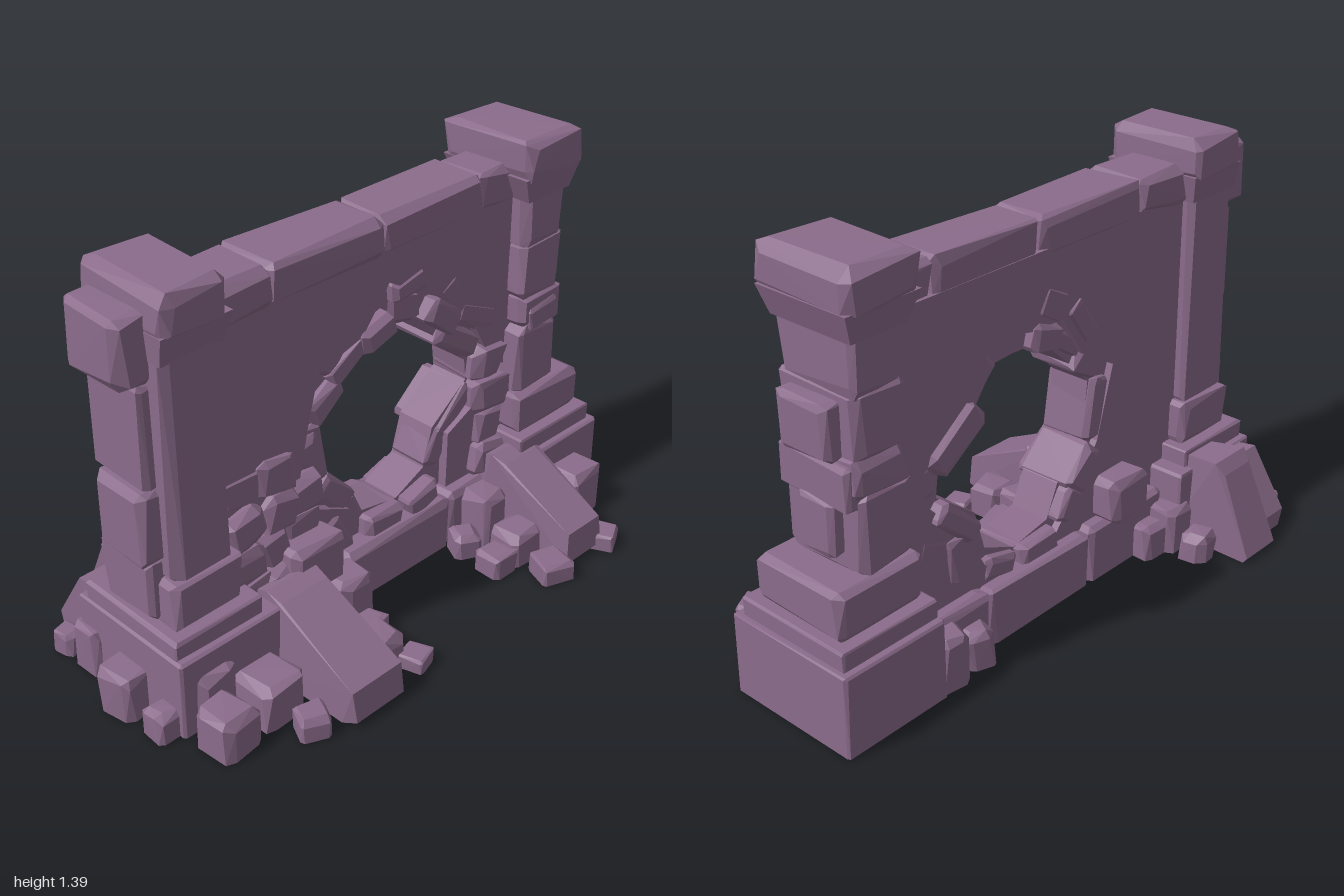
import * as THREE from 'three';
import { ConvexGeometry } from 'three/addons/geometries/ConvexGeometry.js';

const stone = new THREE.MeshStandardMaterial({ color: 0x8b6c8b, flatShading: true });
stone.name = 'mauve stone';

let seed = 7;
const rnd = () => (seed = (seed * 16807) % 2147483647) / 2147483647;
const vary = (a) => (rnd() - 0.5) * 2 * a;

function add(parent, name, geometry) {
  const m = new THREE.Mesh(geometry, stone);
  m.name = name;
  parent.add(m);
  return m;
}

function group(parent, name) {
  const g = new THREE.Group();
  g.name = name;
  parent.add(g);
  return g;
}

// Stone block with irregular chipped corners, given by its ranges in x, y and z
function block(parent, name, x, y, z, chip = 0.03) {
  const size = [x, y, z].map(([a, b]) => b - a);
  const c = Math.min(chip, Math.min(...size) * 0.28);
  const pts = [];
  for (const a of [-1, 1]) for (const b of [-1, 1]) for (const d of [-1, 1]) {
    const sign = [a, b, d];
    const inset = sign.map(() => rnd() * c * 0.4);
    for (let k = 0; k < 3; k++) {
      const p = sign.map((g, i) => g * (size[i] / 2 - (i === k ? inset[i] * 0.4 : inset[i] + c * (0.1 + rnd() * 0.8))));
      if (y[0] === 0 && b < 0) p[1] = -size[1] / 2;
      pts.push(new THREE.Vector3(...p));
    }
  }
  const m = add(parent, name, new ConvexGeometry(pts));
  m.position.set((x[0] + x[1]) / 2, (y[0] + y[1]) / 2, (z[0] + z[1]) / 2);
  return m;
}

// Fallen slab with a (z, y) side profile
function slab(parent, x0, x1, profile) {
  const pts = profile.flatMap(([z, y]) => [x0 + rnd() * 0.025, x1 - rnd() * 0.025].map(x => new THREE.Vector3(x, y, z)));
  add(parent, 'fallenSlab', new ConvexGeometry(pts));
}

// Wall sheet with a broken opening
function sheet(parent, name, hole, z0, z1) {
  const shape = new THREE.Shape();
  shape.moveTo(-0.66, 0.1).lineTo(0.68, 0.1).lineTo(0.68, 1.2).lineTo(-0.66, 1.2);
  shape.holes.push(new THREE.Path(hole));
  const geo = new THREE.ExtrudeGeometry(shape, { depth: z1 - z0, bevelEnabled: false });
  add(parent, name, geo.translate(0, 0, z0));
}

// Pillar of tiers: x ranges differ, heights and depths are shared
function pillar(parent, name, joints, base, step, plinth, shaft, cap) {
  const g = group(parent, name);
  const depth = (h) => [-0.04 - h, -0.04 + h];
  block(g, 'pillarBase', base, [0, 0.27], depth(0.242), 0.012);
  block(g, 'baseStep', step, [0.26, 0.33], depth(0.215), 0.012);
  block(g, 'pillarPlinth', plinth, [0.32, 0.48], depth(0.18));
  for (let i = 0; i < joints.length - 1; i++) {
    const lean = vary(0.008);
    block(g, 'shaftStone', shaft.map(x => x + lean), [joints[i] - 0.012, joints[i + 1] + 0.012], depth(0.16 + vary(0.006)), 0.035);
  }
  // Flared neck below the capital
  const corners = [[shaft, 1.18, 0.157], [cap, 1.27, 0.175]].flatMap(([xs, y, h]) =>
    xs.flatMap(x => depth(h).map(z => new THREE.Vector3(x, y, z))));
  add(g, 'pillarNeck', new ConvexGeometry(corners));
  block(g, 'capital', cap, [1.25, 1.395], depth(0.187), 0.04);
  return g;
}

export function createModel() {
  const root = new THREE.Group();
  root.name = 'ruinedWall';

  // Wall core and the two flaked outer faces, whose holes are jagged enlargements
  const wall = group(root, 'wall');
  const opening = [[0, 0.87], [0.1, 0.91], [0.24, 0.9], [0.33, 0.78], [0.48, 0.64], [0.49, 0.56], [0.33, 0.44],
    [0.29, 0.3], [0.16, 0.24], [0, 0.27], [-0.05, 0.38], [-0.17, 0.49], [-0.19, 0.69], [-0.1, 0.78]].map(p => new THREE.Vector2(...p));
  const centre = new THREE.Vector2(0.13, 0.58);
  const enlarge = (low, high) => opening.map((p, i) => {
    const q = p.clone().sub(centre).multiplyScalar(i % 2 ? high : low).add(centre);
    q.y = Math.max(q.y, 0.14);
    return q;
  });
  sheet(wall, 'wallCore', opening, -0.13, 0.015);
  sheet(wall, 'frontFace', enlarge(1.22, 1.5), 0.015, 0.048);
  sheet(wall, 'backFace', enlarge(1.3, 1.15), -0.155, -0.13);

  // Two rings of exposed stones laid along the edge of the opening
  for (const [gap, thick, front, rear] of [[0.035, 0.05, 0.055, -0.155], [0.12, 0.045, 0.04, -0.145]]) {
    opening.forEach((p, i) => {
      const q = opening[(i + 1) % opening.length];
      const edge = q.clone().sub(p);
      const out = new THREE.Vector2(-edge.y, edge.x).normalize();
      const mid = p.clone().add(q).multiplyScalar(0.5).addScaledVector(out, gap + rnd() * 0.02);
      const w = edge.length() / 2 + 0.01 + vary(0.01);
      const h = thick + vary(0.012);
      const m = block(wall, 'openingStone', [mid.x - w, mid.x + w], [mid.y - h, mid.y + h], [rear + vary(0.03), front + vary(0.03)], 0.045);
      m.rotation.z = edge.angle() + vary(0.3);
    });
  }

  // Rough courses beside the opening, stepping out towards the ground
  for (let row = 0; row < 4; row++) {
    const y = 0.25 + row * 0.12;
    for (let col = 0; col < 4; col++) {
      const x = col < 3 ? -0.54 + col * 0.13 + vary(0.02) : 0.57;
      const w = 0.08 + vary(0.015);
      const m = block(wall, 'courseStone', [x - w, x + w], [y - 0.068, y + 0.068], [-0.14, 0.1 - row * 0.012 + vary(0.02)], 0.045);
      m.rotation.z = vary(0.2);
    }
  }

  // Sill and lintel blocks
  [[-0.52, -0.13], [-0.14, 0.35], [0.34, 0.64]].forEach((x, i) =>
    block(wall, 'sillStone', x, [0, 0.2 - (i % 2) * 0.01], [-0.21, 0.1]));
  [[-0.64, -0.4], [-0.41, 0.06], [0.05, 0.5], [0.48, 0.66]].forEach((x, i) => {
    const m = block(wall, 'lintelStone', x, [1.17, 1.305], [-0.17 + i * 0.008, 0.075 - i * 0.006], 0.035);
    m.rotation.z = i === 2 ? 0.02 : 0;
  });
  block(wall, 'sillBlock', [-0.38, -0.2], [0.19, 0.35], [-0.25, -0.1]);

  // Pillars with loose stones on their outer sides
  const left = pillar(root, 'leftPillar', [0.47, 0.72, 0.83, 1.02, 1.21],
    [0.61, 1], [0.61, 0.98], [0.63, 0.955], [0.645, 0.845], [0.605, 0.875]);
  block(left, 'sideStone', [0.8, 0.895], [0.82, 1], [-0.135, 0.07]);
  block(left, 'sideStone', [0.8, 0.88], [0.52, 0.7], [-0.12, 0.02]);
  block(left, 'sideStone', [0.8, 0.87], [0.68, 0.82], [-0.18, 0.1]);
  block(left, 'frontStone', [0.68, 0.82], [0.71, 0.8], [0.07, 0.13]).rotation.z = 0.15;
  const right = pillar(root, 'rightPillar', [0.47, 1.21],
    [-0.91, -0.51], [-0.9, -0.57], [-0.86, -0.6], [-0.84, -0.62], [-0.845, -0.6]);
  block(right, 'sideStone', [-0.91, -0.8], [0.53, 0.78], [-0.15, 0.07]);
  block(right, 'sideStone', [-0.88, -0.8], [0.77, 1.11], [-0.17, 0.06]);
  block(right, 'sideStone', [-0.94, -0.79], [1.1, 1.325], [-0.18, 0.07], 0.04);
  block(right, 'sideStone', [-0.89, -0.8], [0.33, 0.54], [-0.16, 0.06]);

  // Fallen slabs leaning on the wall, front and back
  const rubble = group(root, 'rubble');
  const leaning = [[0.06, 0], [0.06, 0.27], [0.14, 0.3], [0.2, 0.28], [0.51, 0.13], [0.52, 0.02], [0.47, 0]];
  slab(rubble, -0.545, -0.325, leaning);
  slab(rubble, 0.505, 0.705, leaning.map(([z, y]) => [z * 0.91, y]));
  slab(rubble, -0.735, -0.565, [[-0.2, 0], [-0.25, 0.31], [-0.38, 0.33], [-0.41, 0.29], [-0.525, 0.02], [-0.51, 0]]);
  slab(rubble, -0.87, -0.71, [[-0.2, 0], [-0.24, 0.26], [-0.34, 0.27], [-0.47, 0.07], [-0.46, 0]]);
  block(rubble, 'rubbleBlock', [-0.41, -0.2], [0.19, 0.36], [0.02, 0.15]);

  // Chunks on the ground: x, z, width, height
  [[0.82, 0.235, 0.17, 0.18], [-0.645, 0.275, 0.17, 0.15], [-0.83, 0.3, 0.15, 0.14], [-0.93, -0.03, 0.14, 0.16], [-0.93, 0.13, 0.1, 0.1],
    [-0.62, 0.43, 0.1, 0.08], [-0.27, 0.35, 0.14, 0.12], [-0.2, 0.14, 0.14, 0.2], [-0.19, 0.24, 0.1, 0.07], [-0.19, 0.44, 0.09, 0.05],
    [0.46, 0.15, 0.13, 0.2], [0.35, 0.16, 0.1, 0.09], [0.35, 0.3, 0.11, 0.08], [0.46, 0.29, 0.14, 0.12], [0.46, 0.45, 0.12, 0.07],
    [0.72, 0.46, 0.1, 0.06], [-0.9, -0.37, 0.08, 0.08], [-0.5, -0.37, 0.1, 0.1], [-0.87, -0.25, 0.13, 0.17], [-0.51, -0.24, 0.13, 0.16],
    [-0.41, -0.22, 0.11, 0.12], [0.43, -0.22, 0.11, 0.13], [0.56, -0.22, 0.13, 0.18], [-0.79, 0.16, 0.14, 0.2]].forEach(([x, z, w, h]) => {
    const r = w / 2;
    block(rubble, 'rubbleChunk', [x - r, x + r], [0, h], [z - r, z + r], 0.035).rotation.y = vary(w > 0.12 ? 0.15 : 0.5);
  });

  return root;
}
